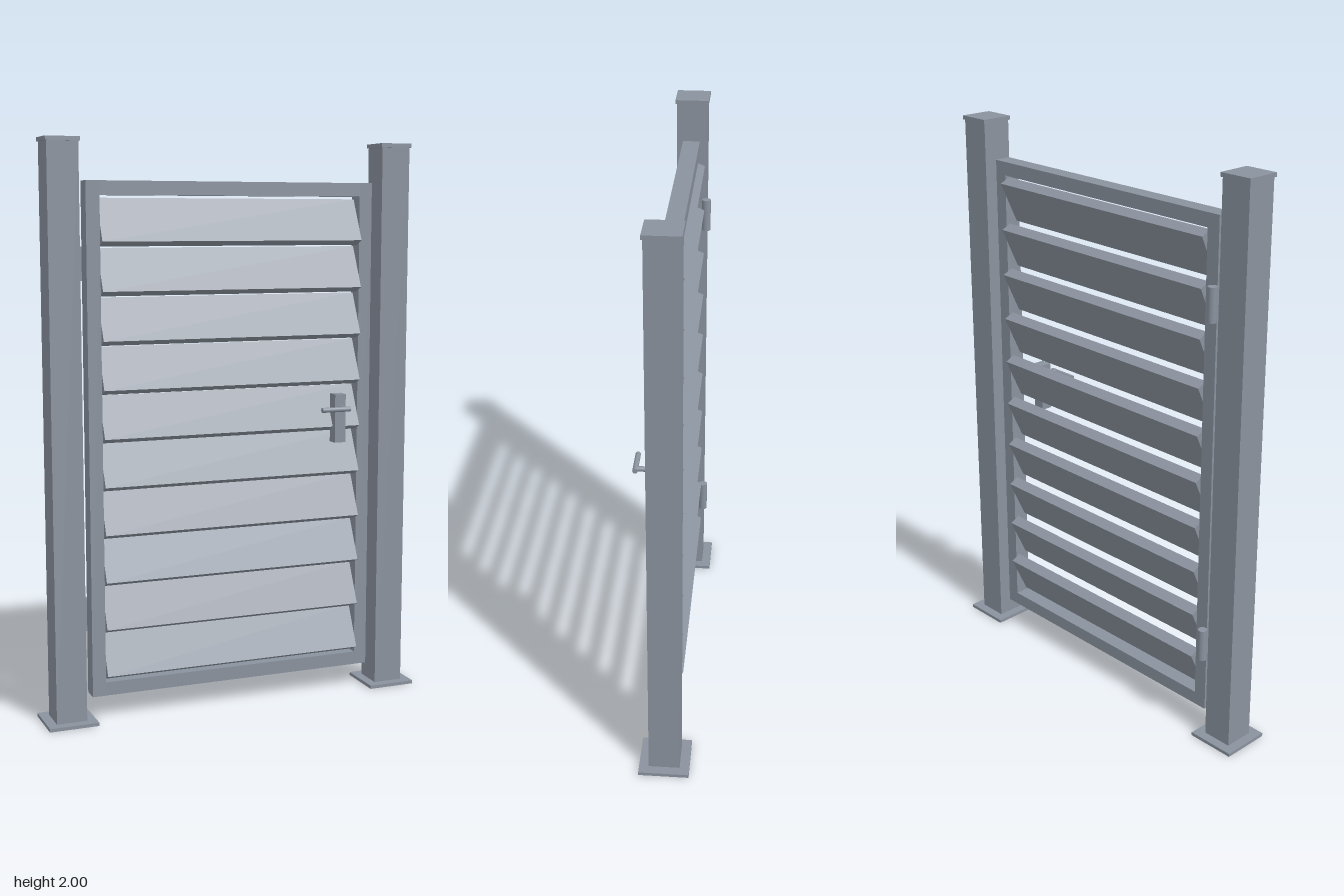
import * as THREE from 'three';

export function createModel() {
  const model = new THREE.Group();
  model.name = 'gate';
  const steel = new THREE.MeshStandardMaterial({ color: 0x8a929e });
  steel.name = 'grey steel';
  const Z = -0.018; // centre plane of posts and leaf

  function add(parent, name, geometry, x, y, z) {
    const mesh = new THREE.Mesh(geometry, steel);
    mesh.name = name;
    mesh.position.set(x, y, z);
    parent.add(mesh);
    return mesh;
  }
  const box = (w, h, d) => new THREE.BoxGeometry(w, h, d);
  const rod = (r, length) => new THREE.CylinderGeometry(r, r, length, 24);

  // Posts with foot plates and caps
  for (const side of [-1, 1]) {
    const post = new THREE.Group();
    post.name = side < 0 ? 'rightPost' : 'leftPost';
    post.position.set(side * 0.6125, 0, Z);
    add(post, 'footPlate', box(0.175, 0.012, 0.175), 0, 0.006, 0);
    add(post, 'shaft', box(0.108, 1.974, 0.108), 0, 0.999, 0);
    add(post, 'cap', box(0.118, 0.014, 0.118), 0, 1.993, 0);
    model.add(post);
  }

  // Leaf frame: full-height stiles with rails between them
  const leaf = new THREE.Group();
  leaf.name = 'leaf';
  model.add(leaf);
  const bar = 0.048, bottom = 0.085, top = 1.86, half = 0.53, depth = 0.06;
  for (const side of [-1, 1]) {
    add(leaf, 'stile', box(bar, top - bottom, depth), side * (half - bar / 2), (top + bottom) / 2, Z);
  }
  for (const y of [bottom + bar / 2, top - bar / 2]) {
    add(leaf, 'rail', box(2 * (half - bar), bar, depth), 0, y, Z);
  }

  // Tilted slats, lower edge towards the front
  for (let i = 0; i < 10; i++) {
    const slat = add(leaf, 'slat', box(0.961, 0.16, 0.04), 0, 0.2225 + i / 6, Z);
    slat.rotation.x = -THREE.MathUtils.degToRad(25);
  }

  // Hinges on the back
  for (const y of [0.362, 1.583]) {
    add(model, 'hinge', rod(0.016, 0.116), -0.533, y, -0.074);
  }

  // Lever handle on the front
  const handle = new THREE.Group();
  handle.name = 'handle';
  model.add(handle);
  add(handle, 'lockPlate', box(0.042, 0.175, 0.042), 0.395, 1.023, 0.031);
  add(handle, 'spindle', rod(0.009, 0.045), 0.395, 1.062, 0.0725).rotation.x = Math.PI / 2;
  add(handle, 'lever', rod(0.009, 0.11), 0.357, 1.062, 0.096).rotation.z = Math.PI / 2;

  return model;
}
